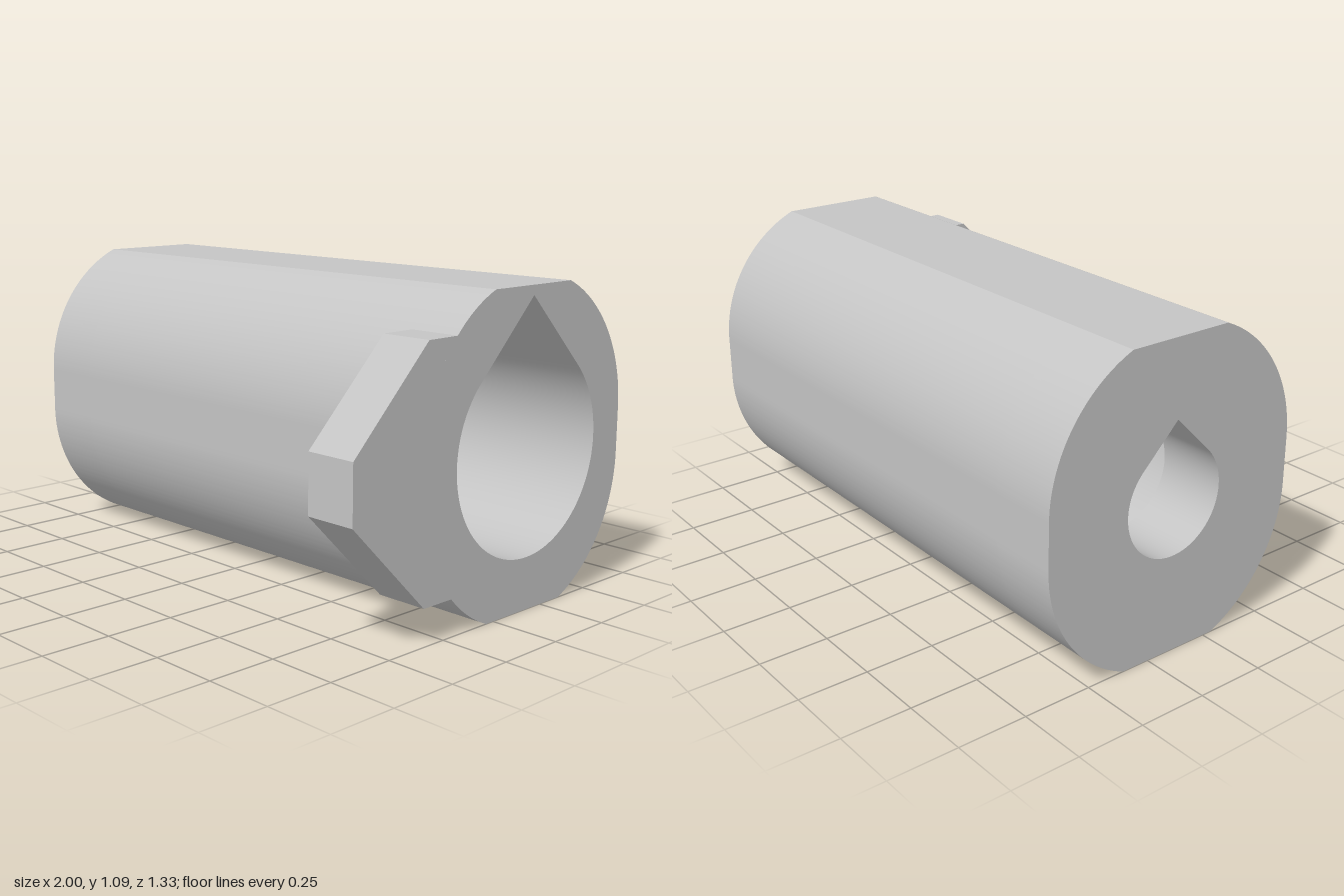
import * as THREE from 'three';
import { toCreasedNormals } from 'three/addons/utils/BufferGeometryUtils.js';

// Profiles are drawn in (-z, y) and extruded along x
const CX = 0.16, CY = 0.547;   // axis of the housing
const R = 0.506, SPREAD = 0.08; // side arcs and their vertical offset
const HALF = Math.asin((CY - SPREAD) / R); // arc extent up to the flats

// Rounded sides with flat top and bottom
function bodyShape(holeRadius) {
  const s = new THREE.Shape();
  s.absarc(CX, CY - SPREAD, R, -HALF, 0, false);
  s.absarc(CX, CY + SPREAD, R, 0, HALF, false);
  s.absarc(CX, CY + SPREAD, R, Math.PI - HALF, Math.PI, false);
  s.absarc(CX, CY - SPREAD, R, Math.PI, Math.PI + HALF, false);
  s.closePath();
  s.holes.push(teardrop(holeRadius));
  return s;
}

// Circle with a 45 degree pointed roof
function teardrop(r) {
  const p = new THREE.Path();
  p.absarc(CX, CY, r, Math.PI * 0.75, Math.PI * 2.25, false);
  p.lineTo(CX, CY + r * Math.SQRT2);
  p.closePath();
  return p;
}

// Chamfered tab whose inner edge follows the housing
function tabShape() {
  const a = Math.asin((0.42 - SPREAD) / R);
  const s = new THREE.Shape();
  s.moveTo(-0.345, 0.127);
  s.lineTo(-0.665, 0.447);
  s.lineTo(-0.665, 0.647);
  s.lineTo(-0.345, 0.967);
  s.absarc(CX, CY + SPREAD, R, Math.PI - a, Math.PI, false);
  s.absarc(CX, CY - SPREAD, R, Math.PI, Math.PI + a, false);
  s.closePath();
  return s;
}

export function createModel() {
  const model = new THREE.Group();
  model.name = 'housing';
  const grey = new THREE.MeshStandardMaterial({ color: 0xc4c4c4 });
  grey.name = 'light grey';

  function add(name, shape, x0, x1) {
    const geo = new THREE.ExtrudeGeometry(shape, {
      depth: x1 - x0, bevelEnabled: false, curveSegments: 36,
    });
    geo.rotateY(Math.PI / 2);
    geo.translate(x0, 0, 0);
    const mesh = new THREE.Mesh(toCreasedNormals(geo, 0.3), grey);
    mesh.name = name;
    model.add(mesh);
  }

  const step = -0.75; // where the wide bore narrows
  add('endWall', bodyShape(0.195), -1, step);
  add('mainTube', bodyShape(0.363), step, 1);
  add('mountingTab', tabShape(), 0.815, 1);
  return model;
}
